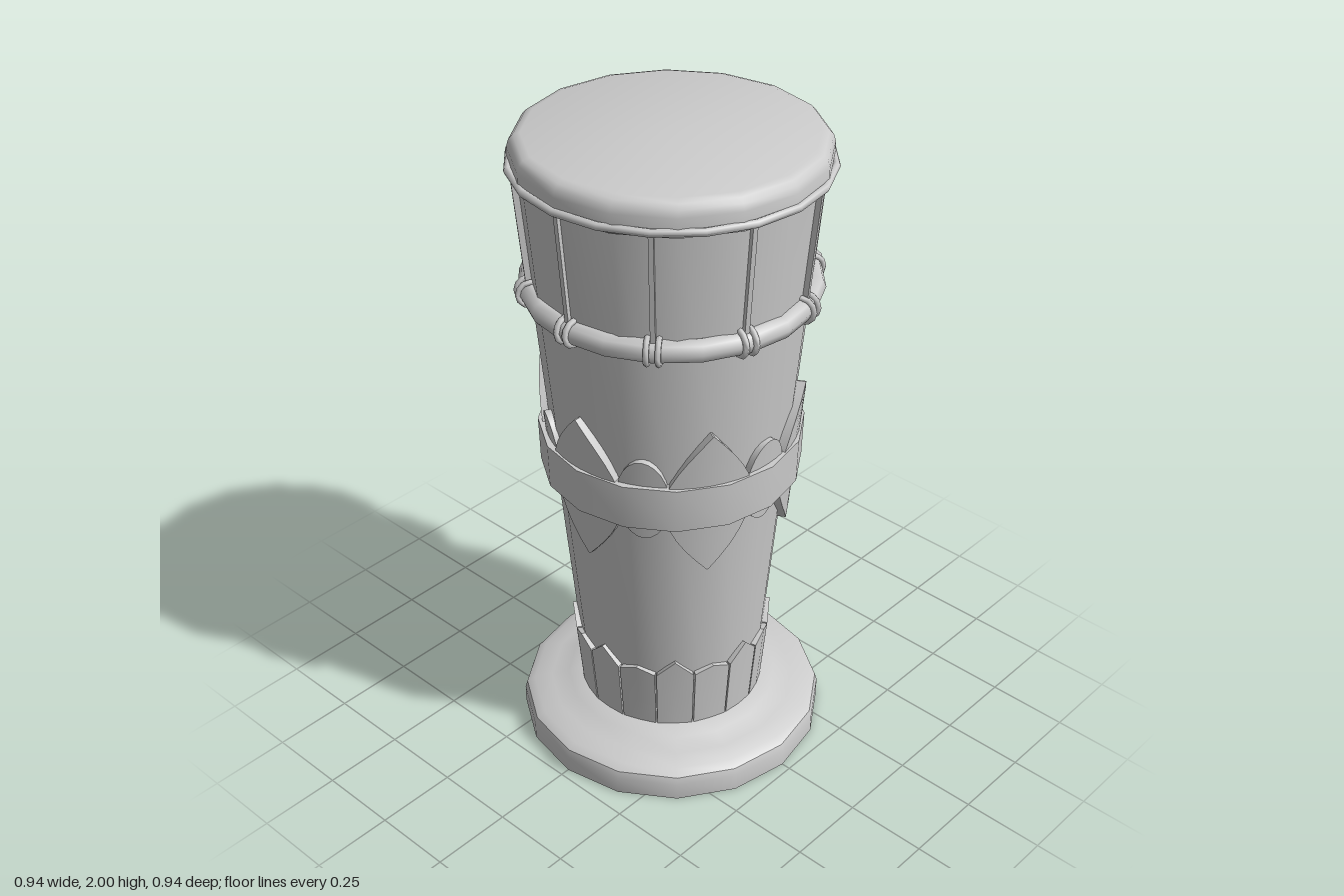
import * as THREE from 'three';
import { toCreasedNormals } from 'three/addons/utils/BufferGeometryUtils.js';

const SIDES = 16;
const material = new THREE.MeshStandardMaterial({ color: 0xcccccc });

// Radius of the tapered shell at height y
const shellRadius = (y) => 0.262 + 0.088 * y;

function addMesh(parent, name, geometry, crease = 0.7) {
  const mesh = new THREE.Mesh(toCreasedNormals(geometry, crease), material);
  mesh.name = name;
  parent.add(mesh);
  return mesh;
}

// Turned part from [radius, height] pairs, listed from bottom to top
function turned(profile, sides = SIDES) {
  return new THREE.LatheGeometry(profile.map(([r, y]) => new THREE.Vector2(r, y)), sides);
}

// Thin plate wrapped on the shell; outline(u, v) gives [sideways offset, height]
function wrappedPlate(angle, thickness, cols, rows, outline) {
  const geometry = new THREE.BoxGeometry(2, 1, 1, cols, rows, 1);
  const p = geometry.attributes.position;
  for (let i = 0; i < p.count; i++) {
    const [x, y] = outline(p.getX(i), p.getY(i) + 0.5);
    const base = shellRadius(y);
    const r = base + (p.getZ(i) > 0 ? thickness : -0.015);
    const a = angle + x / base;
    p.setXYZ(i, r * Math.sin(a), y, r * Math.cos(a));
  }
  return geometry;
}

function ring(radius, tube, y, sides) {
  return new THREE.TorusGeometry(radius, tube, 8, sides).rotateX(Math.PI / 2).translate(0, y, 0);
}

export function createModel() {
  const drum = new THREE.Group();
  drum.name = 'drum';

  // Foot, shell and skin
  addMesh(drum, 'foot', turned([
    [0, 0], [0.472, 0], [0.472, 0.055], [0.465, 0.078], [0.44, 0.094],
    [0.385, 0.104], [0.33, 0.12], [0.285, 0.14], [0.25, 0.14],
  ]));
  addMesh(drum, 'shell', turned([
    [shellRadius(0.12), 0.12], [shellRadius(1.0), 1.0], [shellRadius(1.93), 1.93],
  ]));
  addMesh(drum, 'skin', turned([
    [0.42, 1.905], [0.443, 1.905], [0.443, 1.96], [0.437, 1.98], [0.425, 1.993], [0.405, 2], [0, 2],
  ]));

  // Hoops holding the skin
  addMesh(drum, 'skinRope', ring(0.444, 0.012, 1.92, 20), 1.2);
  addMesh(drum, 'tensionHoop', ring(0.4, 0.034, 1.55, 20), 1.2);

  // Tension cords, each tied to the hoop with a double loop
  const cords = new THREE.Group();
  cords.name = 'tensionCords';
  drum.add(cords);
  for (let i = 0; i < 10; i++) {
    const angle = (i / 10) * Math.PI * 2;
    addMesh(cords, 'cord', wrappedPlate(angle, 0.01, 1, 1, (u, v) => [u * 0.007, 1.52 + v * 0.4]));
    for (const side of [-1, 1]) {
      const loop = new THREE.TorusGeometry(0.037, 0.009, 6, 12)
        .rotateY(Math.PI / 2)
        .translate(side * 0.016, 1.55, 0.398)
        .rotateY(angle);
      addMesh(cords, 'cordLoop', loop, 1.2);
    }
  }

  // Belt around the middle
  addMesh(drum, 'belt', turned([
    [0.34, 0.95], [0.388, 0.95], [0.392, 1.09], [0.35, 1.09],
  ]));

  // Large pointed petals with small round ones between them
  const petals = new THREE.Group();
  petals.name = 'petals';
  drum.add(petals);
  for (let i = 0; i < 6; i++) {
    const angle = (i / 6) * Math.PI * 2;
    addMesh(petals, 'pointedPetal', wrappedPlate(angle, 0.021, 6, 12, (u, v) => {
      const t = v * 2 - 1;
      return [u * Math.max(0.002, 0.13 * (1 - Math.abs(t) ** 1.7)), 1.02 + 0.242 * t];
    }));
    addMesh(petals, 'roundPetal', wrappedPlate(angle + Math.PI / 6, 0.014, 4, 12, (u, v) => {
      const t = (v - 0.5) * Math.PI;
      return [u * Math.max(0.002, 0.075 * Math.cos(t)), 1.035 + 0.137 * Math.sin(t)];
    }));
  }

  // Collar of pointed staves above the foot, alternating tall and short
  const collar = new THREE.Group();
  collar.name = 'collar';
  drum.add(collar);
  for (let i = 0; i < 16; i++) {
    const tip = i % 2 ? 0.365 : 0.4;
    addMesh(collar, 'stave', wrappedPlate((i / 16) * Math.PI * 2, 0.012, 2, 2, (u, v) => {
      const top = tip - (tip - 0.343) * Math.abs(u);
      const y = 0.12 + v * (top - 0.12);
      return [u * 0.188 * shellRadius(y), y];
    }));
  }

  return drum;
}
